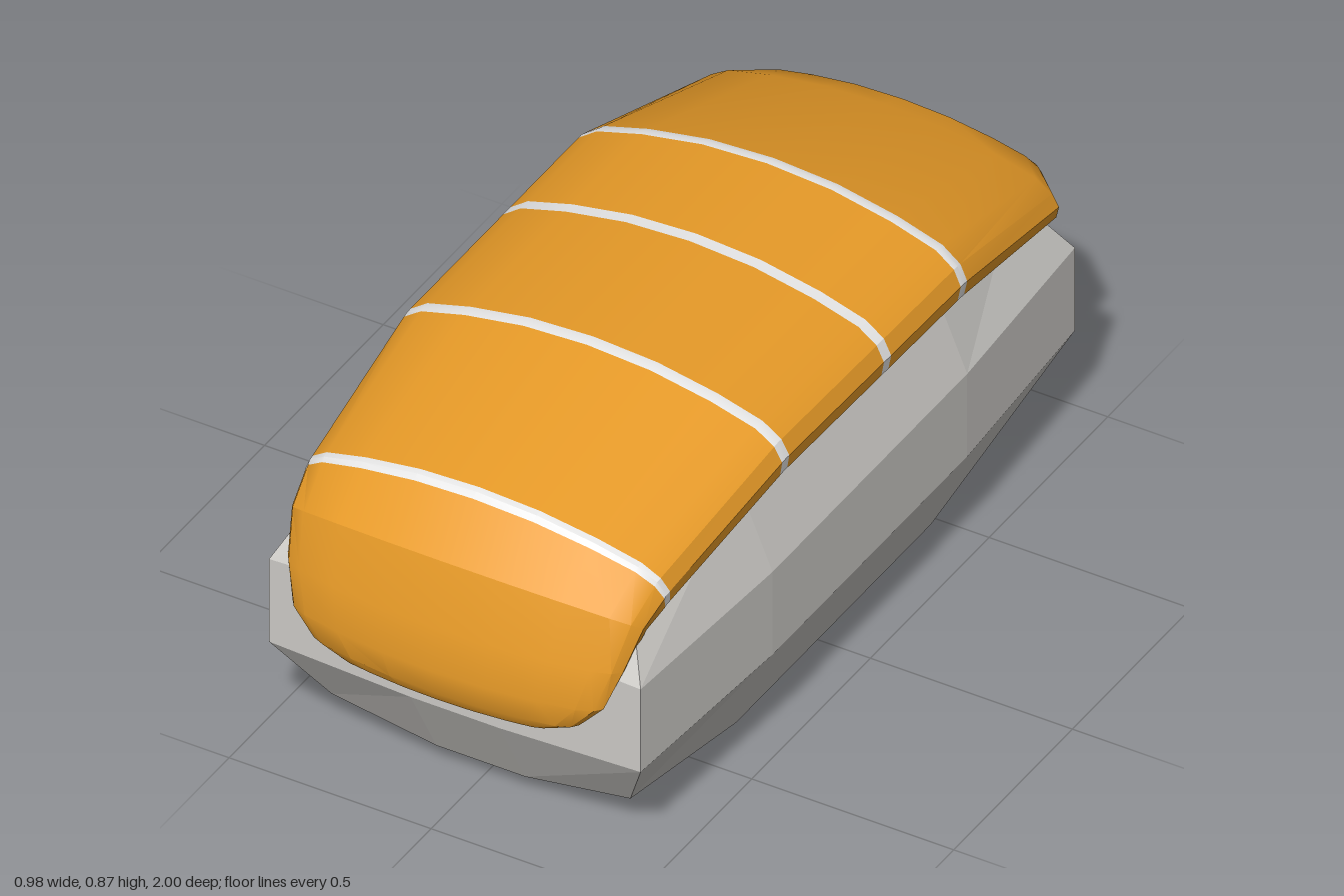
import * as THREE from 'three';
import { toCreasedNormals } from 'three/addons/utils/BufferGeometryUtils.js';

const mat = (name, color) => {
  const m = new THREE.MeshStandardMaterial({ color });
  m.name = name;
  return m;
};

// Rice block: a 3x3x3 box whose grid points are pulled into a bulged, chamfered form
function riceGeometry() {
  const box = new THREE.BoxGeometry(3, 3, 3, 3, 3, 3);
  const p = box.attributes.position;
  for (let i = 0; i < p.count; i++) {
    const x = p.getX(i), y = p.getY(i), z = p.getZ(i);
    const ox = Math.abs(x) > 1, oy = Math.abs(y) > 1, oz = Math.abs(z) > 1;
    const px = ox ? (oy ? 0.4 : 0.49) - (oz ? 0.03 : 0) : 0.11;
    const py = oy ? (ox && oz ? 0.285 : ox || oz ? 0.325 : 0.37) : !ox && oz ? 0.125 : 0.11;
    const pz = oz ? (oy ? 0.805 : 0.915) : 0.41;
    p.setXYZ(i, Math.sign(x) * px, 0.37 + Math.sign(y) * py, Math.sign(z) * pz - 0.015);
  }
  const flat = box.toNonIndexed();
  flat.computeVertexNormals();
  return flat;
}

// Half cross-section of the topping: [fraction of half width, depth below the crown]
const HALF = [
  [0, 0], [0.33, 0.01], [0.64, 0.04], [0.87, 0.075], [0.963, 0.11], [1, 0.15],
  [0.985, 0.19], [0.93, 0.19], [0.8, 0.16], [0.5, 0.12], [0, 0.1],
];
const LOOP = [...HALF, ...HALF.slice(1, -1).reverse().map(([x, d]) => [-x, d])];

// Stations from front tip to tail: [z, y of crown, tilt in degrees, half width, depth scale]
const STATIONS = [
  [0.975, 0.328, 100, 0.26, 0.2],
  [0.995, 0.36, 90, 0.33, 0.38],
  [1.0, 0.42, 88, 0.385, 0.48],
  [0.985, 0.525, 78, 0.415, 0.6],
  [0.94, 0.67, 52, 0.435, 0.8],
  [0.81, 0.775, 17, 0.447, 0.93],
  [0.33, 0.87, 5, 0.477, 0.96],
  [-0.43, 0.862, -2, 0.483, 0.96],
  [-0.9, 0.71, 0, 0.438, 0.74],
  [-0.985, 0.668, 0, 0.35, 0.5],
  [-1.0, 0.645, 0, 0.335, 0.36],
];

// Stripe spans, measured in station numbers
const STRIPES = [[4.9, 5.03], [5.97, 6.02], [6.55, 6.59], [6.98, 7.03]];

function station(t) {
  const i = Math.min(Math.floor(t), STATIONS.length - 2);
  return STATIONS[i].map((v, k) => THREE.MathUtils.lerp(v, STATIONS[i + 1][k], t - i));
}

// Topping: lofted loops, with the stripe bands as a second material group
function toppingGeometry() {
  const ts = [...new Set([...STATIONS.keys(), ...STRIPES.flat()])].sort((a, b) => a - b);
  const n = LOOP.length, pos = [], body = [], bands = [];
  for (const t of ts) {
    const [z, y, tilt, w, s] = station(t);
    const a = THREE.MathUtils.degToRad(tilt);
    for (const [x, d] of LOOP) pos.push(x * w, y - d * s * Math.cos(a), z - d * s * Math.sin(a));
  }
  for (let r = 0; r < ts.length - 1; r++) {
    const mid = (ts[r] + ts[r + 1]) / 2;
    const list = STRIPES.some(([a, b]) => mid > a && mid < b) ? bands : body;
    for (let j = 0; j < n; j++) {
      const a = r * n + j, b = r * n + (j + 1) % n;
      list.push(a, b, a + n, b, b + n, a + n);
    }
  }
  // End caps, zipped across from one side to the other
  const last = (ts.length - 1) * n;
  const at = (j) => (j + n) % n;
  const h = HALF.length - 1;
  const cap = (a, b, c) => {
    body.push(at(c), at(b), at(a));
    body.push(last + at(a), last + at(b), last + at(c));
  };
  // Outer points 0..5 joined to inner points h..6 on each side
  for (let k = 0; k < h / 2; k++) {
    const o = k, o2 = k + 1, i = h - k, i2 = h - k - 1;
    cap(o, o2, i);
    if (o2 !== i2) cap(o2, i2, i);
    cap(-o, -i, -o2);
    if (o2 !== i2) cap(-o2, -i, -i2);
  }
  const g = new THREE.BufferGeometry();
  g.setAttribute('position', new THREE.Float32BufferAttribute(pos, 3));
  g.setIndex([...body, ...bands]);
  g.addGroup(0, body.length, 0);
  g.addGroup(body.length, bands.length, 1);
  return toCreasedNormals(g, THREE.MathUtils.degToRad(28));
}

export function createModel() {
  const group = new THREE.Group();
  group.name = 'sushi';

  const rice = new THREE.Mesh(riceGeometry(), mat('rice grey', 0xcccac6));
  rice.name = 'riceBlock';

  const topping = new THREE.Mesh(toppingGeometry(), [
    mat('topping orange', 0xf2a22a),
    mat('stripe white', 0xeeeeee),
  ]);
  topping.name = 'stripedTopping';

  group.add(rice, topping);
  return group;
}
